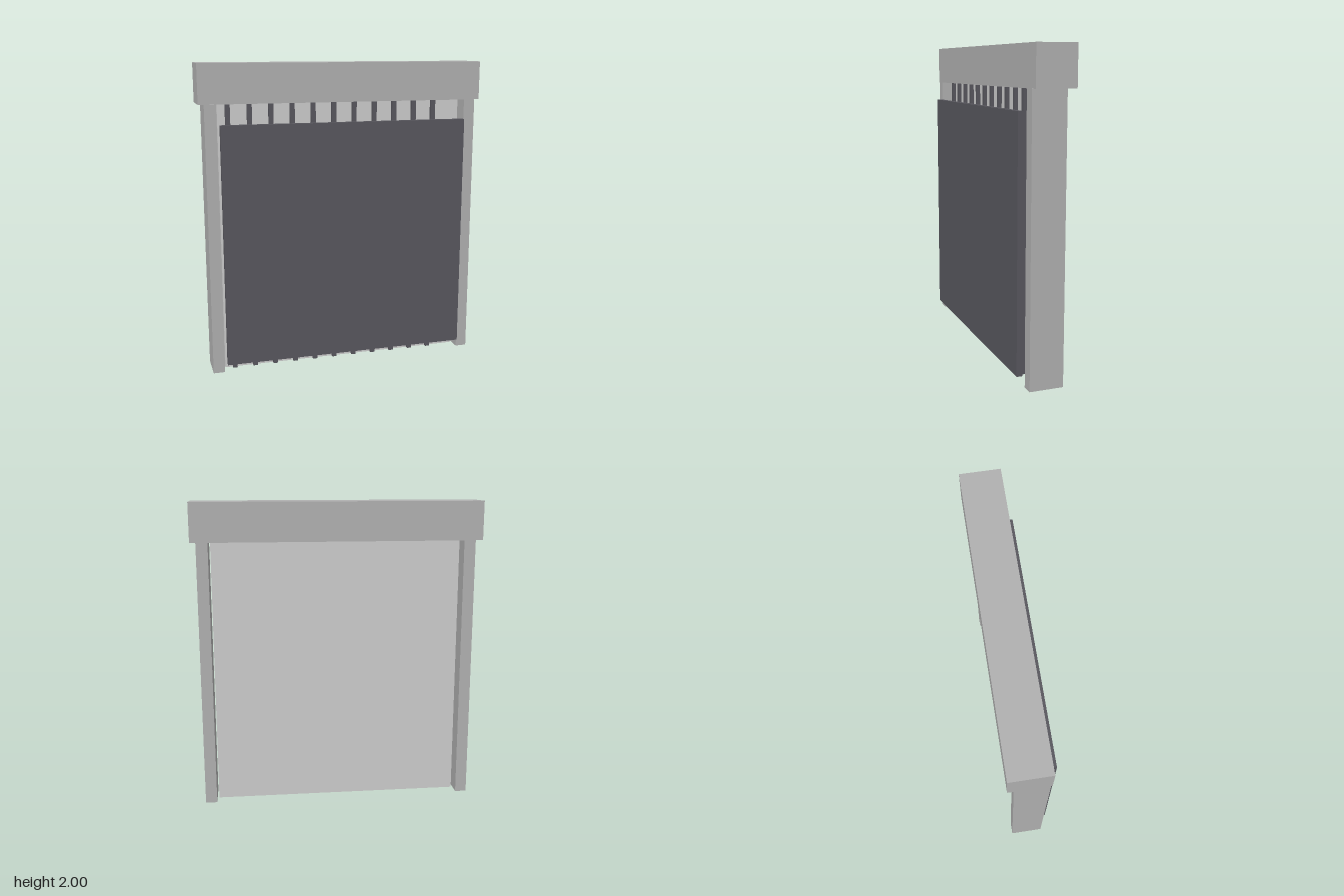
import * as THREE from 'three';

const frameMat = new THREE.MeshStandardMaterial({ color: 0xb0b0b0 });
const sheetMat = new THREE.MeshStandardMaterial({ color: 0xcccccc });
const darkMat = new THREE.MeshStandardMaterial({ color: 0x58575e });

// Box given by its min and max along each axis
function box(name, mat, [x0, x1], [y0, y1], [z0, z1]) {
  const mesh = new THREE.Mesh(new THREE.BoxGeometry(x1 - x0, y1 - y0, z1 - z0), mat);
  mesh.position.set((x0 + x1) / 2, (y0 + y1) / 2, (z0 + z1) / 2);
  mesh.name = name;
  return mesh;
}

export function createModel() {
  const model = new THREE.Group();
  model.name = 'rollerDoor';

  // Housing across the top
  model.add(box('headerBox', frameMat, [-0.935, 0.935], [1.75, 2], [-0.15, 0.1]));

  // Side posts
  model.add(box('leftPost', frameMat, [0.825, 0.9], [0, 1.75], [-0.107, 0.107]));
  model.add(box('rightPost', frameMat, [-0.9, -0.825], [0, 1.75], [-0.107, 0.107]));

  // Door sheet set midway between the posts
  model.add(box('doorSheet', sheetMat, [-0.813, 0.813], [0, 1.75], [-0.03, 0.03]));

  // Upright ribs on the front of the sheet
  const ribs = new THREE.Group();
  ribs.name = 'ribs';
  for (let i = 0; i < 11; i++) {
    const x = -0.749 + i * 0.1376;
    ribs.add(box('rib', darkMat, [x - 0.015, x + 0.015], [0, 1.75], [0.03, 0.052]));
  }
  model.add(ribs);

  // Dark panel in front of the ribs
  model.add(box('frontPanel', darkMat, [-0.81, 0.81], [0.065, 1.625], [0.117, 0.153]));

  return model;
}
